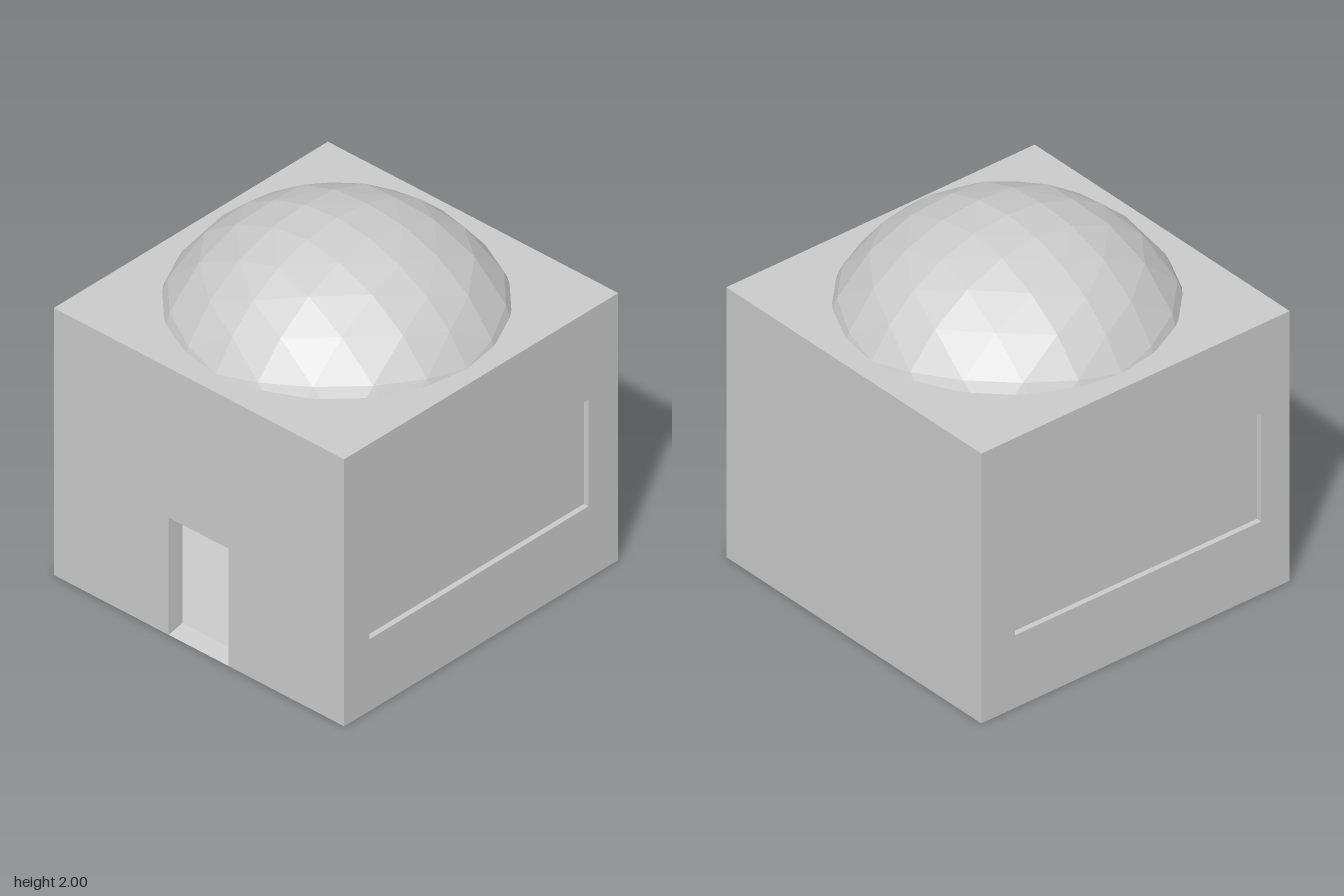
import * as THREE from 'three';

const HX = 0.935, HZ = 0.952, TOP = 1.525; // half width, half depth, roof height
const WALL = 0.095, RECESS = 0.03, FLOOR = 0.02;
const DOOR = { x0: -0.195, x1: 0.19, h: 0.67 };

export function createModel() {
  const group = new THREE.Group();
  const material = new THREE.MeshStandardMaterial({ color: 0xcccccc, flatShading: true });

  const add = (name, geometry) => {
    const mesh = new THREE.Mesh(geometry, material);
    mesh.name = name;
    group.add(mesh);
    return mesh;
  };
  const box = (name, x0, x1, y0, y1, z0, z1) =>
    add(name, new THREE.BoxGeometry(x1 - x0, y1 - y0, z1 - z0)
      .translate((x0 + x1) / 2, (y0 + y1) / 2, (z0 + z1) / 2));
  const outline = (points, Type = THREE.Shape) => new Type(points.map(([x, y]) => new THREE.Vector2(x, y)));
  const extrude = (shape, depth) => new THREE.ExtrudeGeometry(shape, { depth, bevelEnabled: false });

  // Front wall with the doorway cut out of its lower edge
  const ix = HX - WALL, iz = HZ - WALL;
  const front = outline([
    [-HX, 0], [DOOR.x0, 0], [DOOR.x0, DOOR.h], [DOOR.x1, DOOR.h],
    [DOOR.x1, 0], [HX, 0], [HX, TOP], [-HX, TOP],
  ]);
  add('frontWall', extrude(front, WALL).translate(0, 0, iz));
  box('backWall', -HX, HX, 0, TOP, -HZ, -iz);

  // Side walls: a solid inner layer and an outer layer with a recessed panel opening
  for (const side of [1, -1]) {
    const label = side > 0 ? 'left' : 'right';
    const inner = side * ix, outer = side * (HX - RECESS);
    box(label + 'Wall', Math.min(inner, outer), Math.max(inner, outer), 0, TOP, -iz, iz);
    const face = outline([[-HZ, 0], [HZ, 0], [HZ, TOP], [-HZ, TOP]]);
    // shape x runs along -z after the quarter turn
    face.holes.push(outline([[-0.775, 0.41], [-0.775, 1.02], [0.745, 1.02], [0.745, 0.41]], THREE.Path));
    add(label + 'PanelSurround', extrude(face, RECESS).rotateY(Math.PI / 2)
      .translate(side > 0 ? HX - RECESS : -HX, 0, 0));
  }

  // Roof slab, thin raised floor and the little ramp in the doorway
  box('roof', -ix, ix, TOP - WALL, TOP, -iz, iz);
  box('floor', -ix, ix, FLOOR - 0.004, FLOOR, -iz, iz);
  const ramp = extrude(outline([[-HZ, 0], [-iz, 0], [-iz, FLOOR]]), DOOR.x1 - DOOR.x0);
  add('doorRamp', ramp.rotateY(Math.PI / 2).translate(DOOR.x0, 0, 0));

  add('dome', domeGeometry(7, 0.93, 0.84)).position.set(0.005, 1.16, 0);
  return group;
}

// Faceted dome: four octahedron faces split into n rows and rounded by even angles
function domeGeometry(n, radius, height) {
  const positions = [];
  const s = (i) => Math.sin((Math.PI / 2) * i / n);
  const point = (i, k, sx, sz) => {
    const v = new THREE.Vector3(sx * s(i), s(n - i - k), sz * s(k)).normalize();
    return [v.x * radius, v.y * height, v.z * radius];
  };
  for (const sx of [1, -1]) for (const sz of [1, -1]) {
    const tri = (...corners) => {
      if (sx * sz < 0) corners.reverse();
      for (const [i, k] of corners) positions.push(...point(i, k, sx, sz));
    };
    // the last row is left out: the rim is sunk in the roof
    for (let i = 0; i < n - 1; i++) for (let k = 0; i + k < n - 1; k++) {
      tri([i, k], [i, k + 1], [i + 1, k]);
      if (i + k < n - 2) tri([i + 1, k], [i, k + 1], [i + 1, k + 1]);
    }
  }
  const geometry = new THREE.BufferGeometry();
  geometry.setAttribute('position', new THREE.Float32BufferAttribute(positions, 3));
  geometry.computeVertexNormals();
  return geometry;
}
